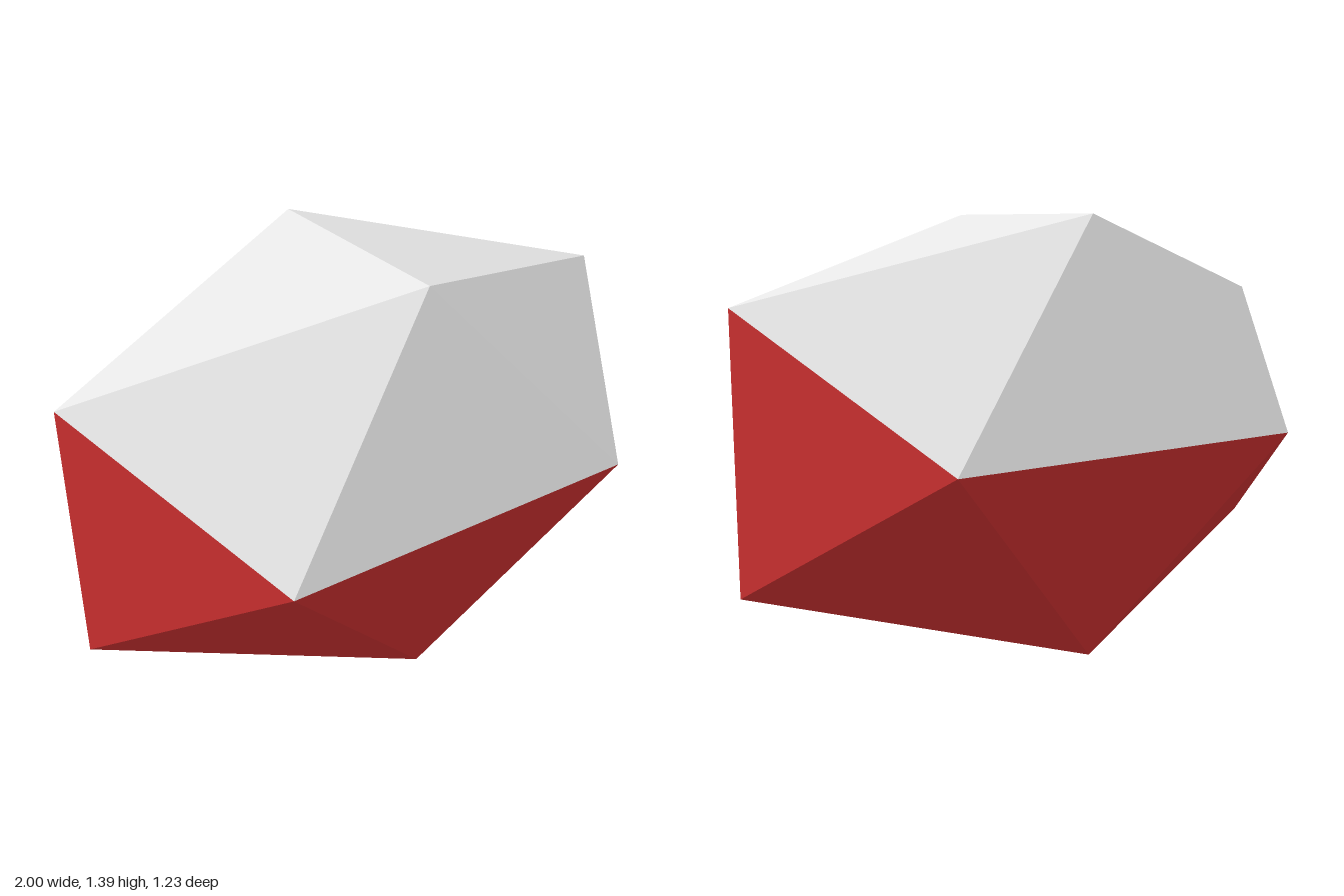
import * as THREE from 'three';

const HALF_HEIGHT = 0.693;
const HALF_DEPTH = 0.615;

// Icosahedron with edges along the axes, stretched so x: +-1, y: 0..1.386, z: +-0.615
function stretchedIcosahedron() {
  const phi = (1 + Math.sqrt(5)) / 2;
  const unit = Math.sqrt(1 + phi * phi) / phi; // radius that puts the outermost corners at 1
  const geometry = new THREE.IcosahedronGeometry(unit, 0);
  geometry.rotateZ(Math.PI / 2);
  geometry.scale(1, HALF_HEIGHT, HALF_DEPTH);
  return geometry;
}

// Keep only the triangles whose centre height passes the test; faces stay flat
function pickFaces(source, test) {
  const p = source.attributes.position;
  const kept = [];
  for (let i = 0; i < p.count; i += 3) {
    const centre = (p.getY(i) + p.getY(i + 1) + p.getY(i + 2)) / 3;
    if (!test(centre)) continue;
    for (let k = i; k < i + 3; k++) kept.push(p.getX(k), p.getY(k) + HALF_HEIGHT, p.getZ(k));
  }
  const geometry = new THREE.BufferGeometry();
  geometry.setAttribute('position', new THREE.Float32BufferAttribute(kept, 3));
  geometry.computeVertexNormals();
  return geometry;
}

export function createModel() {
  const white = new THREE.MeshStandardMaterial({ color: 0xf5f5f5 });
  white.name = 'white';
  const red = new THREE.MeshStandardMaterial({ color: 0xcc3030 });
  red.name = 'red';

  const solid = stretchedIcosahedron();
  const group = new THREE.Group();
  group.name = 'twoToneIcosahedron';

  // Upper eight faces
  const cap = new THREE.Mesh(pickFaces(solid, (y) => y > 0.01), white);
  cap.name = 'upperShell';

  // Upright end faces and everything below
  const base = new THREE.Mesh(pickFaces(solid, (y) => y <= 0.01), red);
  base.name = 'lowerShell';

  group.add(cap, base);
  return group;
}
